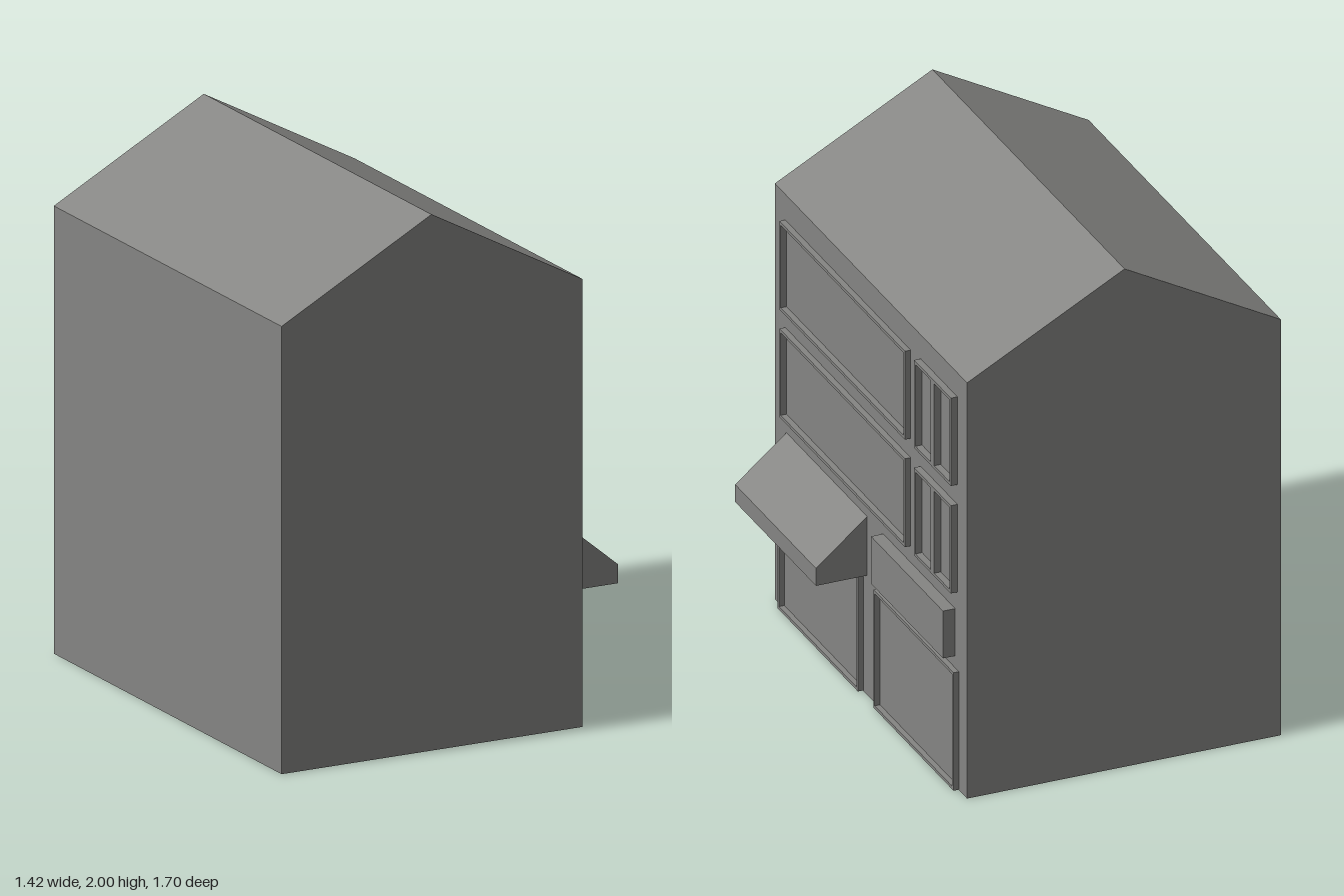
import * as THREE from 'three';

const WALL = 0.51; // x of the shop facade

export function createModel() {
  const model = new THREE.Group();
  model.name = 'shopHouse';
  const grey = new THREE.MeshStandardMaterial({ color: 0x858583 });
  grey.name = 'plainGrey';

  const add = (name, geometry) => {
    const mesh = new THREE.Mesh(geometry, grey);
    mesh.name = name;
    model.add(mesh);
    return mesh;
  };

  // Profile in x,y swept from z0 to z1
  const sweep = (name, points, z0, z1) => {
    const shape = new THREE.Shape(points.map(([x, y]) => new THREE.Vector2(x, y)));
    const geometry = new THREE.ExtrudeGeometry(shape, { depth: z1 - z0, bevelEnabled: false });
    add(name, geometry.translate(0, 0, z0));
  };

  const rectangle = (target, u0, u1, y0, y1) => {
    target.moveTo(u0, y0);
    target.lineTo(u1, y0);
    target.lineTo(u1, y1);
    target.lineTo(u0, y1);
    target.closePath();
    return target;
  };

  // Frame on the facade; u runs along -z, openings are split by a mullion
  const frame = (name, u0, u1, y0, y1, depth, panes = 1) => {
    const border = 0.012, mullion = 0.03;
    const shape = rectangle(new THREE.Shape(), u0, u1, y0, y1);
    const width = (u1 - u0 - 2 * border - mullion * (panes - 1)) / panes;
    for (let i = 0; i < panes; i++) {
      const start = u0 + border + i * (width + mullion);
      shape.holes.push(rectangle(new THREE.Path(), start, start + width, y0 + border, y1 - border));
    }
    const geometry = new THREE.ExtrudeGeometry(shape, { depth, bevelEnabled: false });
    add(name, geometry.rotateY(Math.PI / 2).translate(WALL, 0, 0));
  };

  // House body with gabled roof
  sweep('houseBody', [[-0.715, 0], [WALL, 0], [WALL, 1.67], [-0.105, 2], [-0.715, 1.67]], -0.85, 0.85);

  // Upper floors: one wide window and one double window each
  for (const [floor, y] of [['lower', 0.78], ['upper', 1.212]]) {
    frame(`${floor}WideWindowFrame`, -0.758, 0.352, y, y + 0.355, 0.023);
    frame(`${floor}DoubleWindowFrame`, 0.44, 0.765, y + 0.009, y + 0.362, 0.026, 2);
  }

  // Shop fronts
  frame('leftShopFrame', -0.778, -0.068, 0.002, 0.476, 0.021);
  frame('rightShopFrame', 0.068, 0.778, 0.002, 0.476, 0.021);

  // Sloping awning over one shop, blank sign board over the other
  sweep('awning', [[WALL, 0.48], [0.71, 0.48], [0.71, 0.55], [WALL, 0.717]], 0.033, 0.748);
  add('signBoard', new THREE.BoxGeometry(0.048, 0.19, 0.637)).position.set(WALL + 0.024, 0.619, -0.427);

  return model;
}
